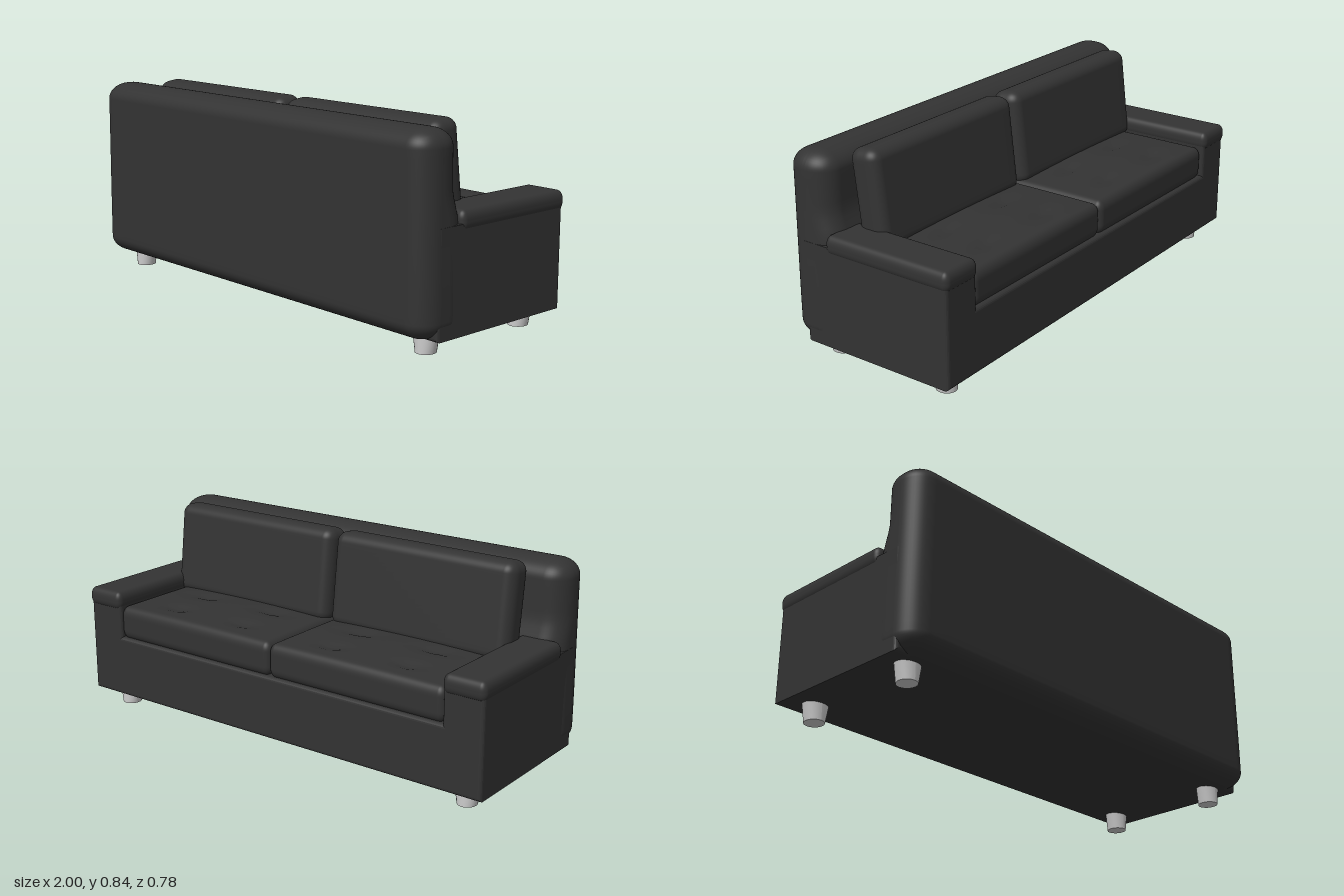
import * as THREE from 'three';
import { mergeVertices } from 'three/addons/utils/BufferGeometryUtils.js';

const fabric = new THREE.MeshStandardMaterial({ color: 0x333333 });
const grey = new THREE.MeshStandardMaterial({ color: 0xcccccc });

// Box with elliptical rounding (radius per axis); deform(p) may move the points further.
function softBox(size, radii, deform) {
  const n = 32, edge = 6;
  const geo = new THREE.BoxGeometry(2, 2, 2, n, n, n);
  geo.deleteAttribute('normal');
  geo.deleteAttribute('uv');
  const pos = geo.attributes.position;
  const p = new THREE.Vector3(), off = new THREE.Vector3();
  for (let i = 0; i < pos.count; i++) {
    p.fromBufferAttribute(pos, i);
    ['x', 'y', 'z'].forEach((a, k) => {
      const inner = size[k] / 2 - radii[k];
      const step = p[a] * n / 2, flat = n / 2 - edge;
      const over = Math.max(0, Math.abs(step) - flat) / edge;
      off[a] = Math.sign(step) * Math.tan(over * Math.PI / 4);
      p[a] = inner * THREE.MathUtils.clamp(step / flat, -1, 1);
    });
    const big = Math.max(Math.abs(off.x), Math.abs(off.y), Math.abs(off.z));
    if (big > 0) off.multiplyScalar(big / off.length());
    p.x += off.x * radii[0];
    p.y += off.y * radii[1];
    p.z += off.z * radii[2];
    if (deform) deform(p);
    pos.setXYZ(i, p.x, p.y, p.z);
  }
  const out = mergeVertices(geo, 1e-5);
  out.computeVertexNormals();
  return out;
}

function add(group, name, geo, x, y, z, material = fabric) {
  const mesh = new THREE.Mesh(geo, material);
  mesh.name = name;
  mesh.position.set(x, y, z);
  group.add(mesh);
  return mesh;
}

// U-shaped front profile: low base between two arms
function frameGeometry() {
  const b = 0.015, w = 0.993 - b, notch = 0.82 + b, bottom = 0.07 + b;
  const shape = new THREE.Shape([
    [-w, bottom], [w, bottom], [w, 0.47], [notch, 0.47],
    [notch, 0.335 - b], [-notch, 0.335 - b], [-notch, 0.47], [-w, 0.47],
  ].map(([x, y]) => new THREE.Vector2(x, y)));
  return new THREE.ExtrudeGeometry(shape, {
    depth: 0.66, bevelEnabled: true, bevelSize: b, bevelThickness: b, bevelSegments: 4,
  });
}

export function createModel() {
  const sofa = new THREE.Group();
  sofa.name = 'sofa';

  add(sofa, 'frame', frameGeometry(), 0, 0, -0.365);

  // Backrest, flaring forward towards the seat
  const back = softBox([1.99, 0.765, 0.205], [0.09, 0.07, 0.095], (p) => {
    const low = 1 - THREE.MathUtils.smoothstep(p.y, 0.03, 0.17);
    if (p.z < 0) p.z -= 0.03 * low;
    p.x *= 1 - 0.006 * THREE.MathUtils.smoothstep(p.y, -0.3, 0.38);
  });
  add(sofa, 'backrest', back, 0, 0.4525, 0.2865);

  // Seat cushion with four shallow tufts and a slight crown
  const seat = softBox([0.825, 0.145, 0.56], [0.03, 0.04, 0.03], (p) => {
    if (p.y <= 0) return;
    const crown = (1 - (p.x / 0.4125) ** 2) * (1 - (p.z / 0.28) ** 2);
    p.y += 0.012 * Math.max(0, crown);
    for (const tx of [-0.18, 0.18]) for (const tz of [-0.155, 0.035]) {
      p.y -= 0.014 * Math.exp(-(((p.x - tx) / 0.06) ** 2) - ((p.z - tz) / 0.03) ** 2);
    }
  });
  const backCushion = softBox([0.845, 0.4, 0.135], [0.045, 0.045, 0.05]);
  const armPad = softBox([0.182, 0.08, 0.58], [0.025, 0.035, 0.025]);

  // Tapered feet, wider across at the top
  const foot = new THREE.CylinderGeometry(0.0425, 0.0425, 0.08, 28);
  const fp = foot.attributes.position;
  for (let i = 0; i < fp.count; i++) fp.setX(i, fp.getX(i) * (fp.getY(i) > 0 ? 1.32 : 0.92));
  foot.computeVertexNormals();

  for (const side of [-1, 1]) {
    const label = side > 0 ? 'left' : 'right';
    add(sofa, label + 'SeatCushion', seat, side * 0.411 + 0.005, 0.4, -0.092);
    const cushion = add(sofa, label + 'BackCushion', backCushion, side * 0.43 + 0.007, 0.642, 0.102);
    cushion.rotation.x = 0.12;
    add(sofa, label + 'ArmPad', armPad, side * 0.908, 0.495, -0.098);
    for (const [end, z] of [['Rear', 0.243], ['Front', -0.276]]) {
      add(sofa, label + end + 'Foot', foot, side * 0.877, 0.04, z, grey);
    }
  }
  return sofa;
}
